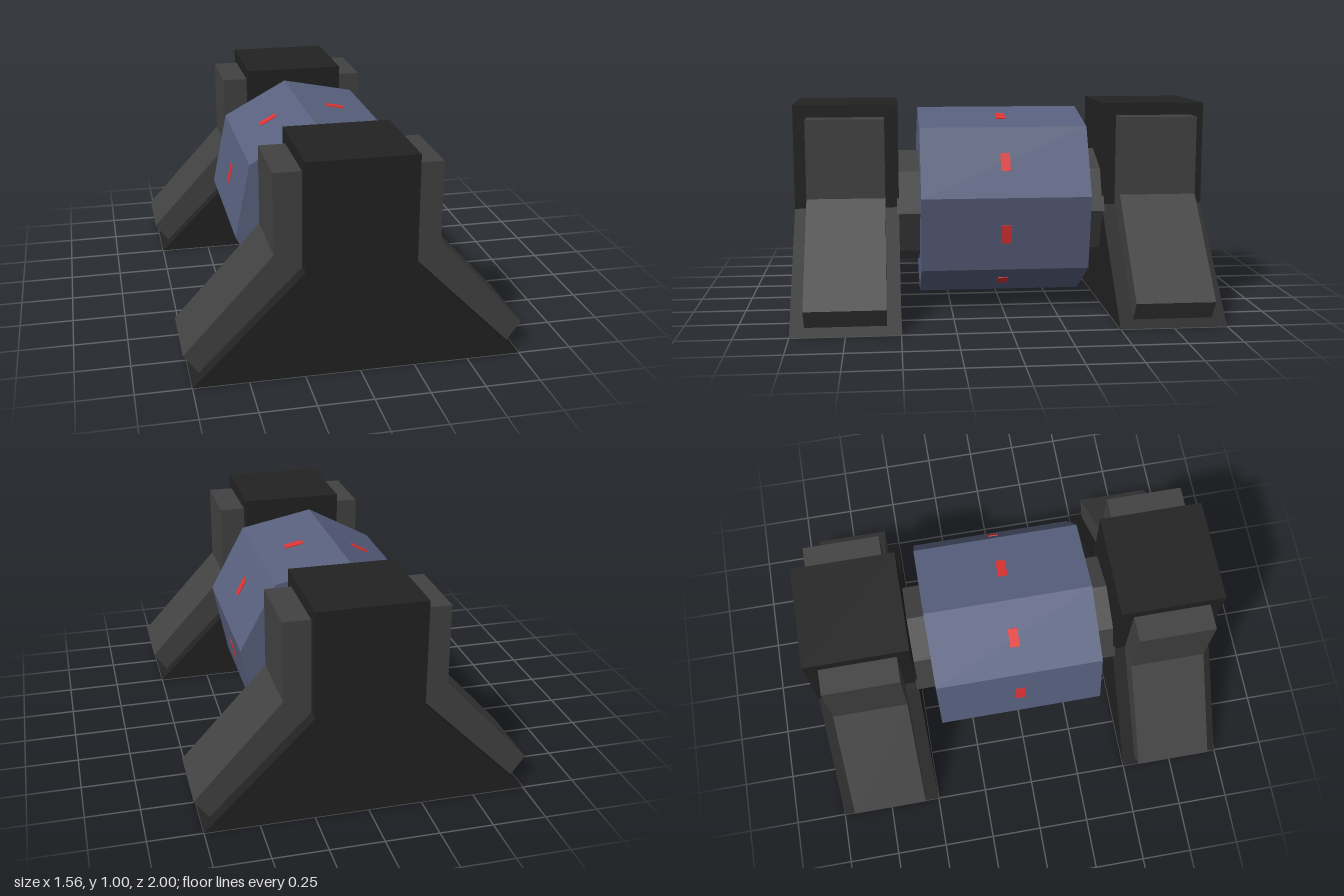
import * as THREE from 'three';

const mat = (name, color, extra = {}) => {
  const m = new THREE.MeshStandardMaterial({ color, ...extra });
  m.name = name;
  return m;
};

// Extrude a polygon in the xy plane between two z values
function prism(name, points, z0, z1, material) {
  const shape = new THREE.Shape(points.map(([x, y]) => new THREE.Vector2(x, y)));
  const geo = new THREE.ExtrudeGeometry(shape, { depth: z1 - z0, bevelEnabled: false });
  geo.translate(0, 0, z0);
  const mesh = new THREE.Mesh(geo, material);
  mesh.name = name;
  return mesh;
}

export function createModel() {
  const black = mat('supportBlack', 0x222222);
  const grey = mat('padGrey', 0x424242);
  const blue = mat('drumBlue', 0x59617f);
  const red = mat('markRed', 0xe03434);
  const model = new THREE.Group();
  model.name = 'drumOnSupports';

  // Two flared supports, each with a bent pad on either side
  const supportProfile = [[-0.75, 0], [0.75, 0], [0.25, 0.5], [0.25, 1], [-0.25, 1], [-0.25, 0.5]];
  const padProfile = [[0.2, 0.94], [0.2, 0.5], [0.71, 0.03], [0.78, 0.125], [0.375, 0.565], [0.375, 0.94]];
  for (const [end, z] of [['front', 0.75], ['back', -0.75]]) {
    const support = new THREE.Group();
    support.name = end + 'Support';
    support.add(prism('supportBody', supportProfile, z - 0.25, z + 0.25, black));
    for (const s of [1, -1]) {
      const profile = padProfile.map(([x, y]) => [s * x, y]);
      support.add(prism(s > 0 ? 'leftPad' : 'rightPad', profile, z - 0.185, z + 0.185, grey));
    }
    model.add(support);
  }

  // Eight-sided axle joining the supports
  const axle = [];
  for (let i = 0; i < 8; i++) {
    const a = (i * Math.PI) / 4;
    axle.push([0.28 * Math.cos(a), 0.47 + 0.28 * Math.sin(a)]);
  }
  model.add(prism('axle', axle, -0.51, 0.51, grey));

  // Slightly turned eight-sided drum: two corners repeated every quarter turn
  const corners = [];
  for (let i = 0; i < 4; i++) {
    for (const [x, y] of [[0.463, 0.07], [0.29, 0.39]]) {
      const p = new THREE.Vector2(x, y).rotateAround(new THREE.Vector2(), (i * Math.PI) / 2);
      corners.push([p.x, p.y + 0.5]);
    }
  }
  const drum = new THREE.Group();
  drum.name = 'drum';
  drum.add(prism('drumBody', corners, -0.412, 0.398, blue));

  // A small mark at the middle of each drum face
  corners.forEach(([x, y], i) => {
    const [x2, y2] = corners[(i + 1) % 8];
    const mark = new THREE.Mesh(new THREE.BoxGeometry(0.09, 0.008, 0.046), red);
    mark.name = 'faceMark' + (i + 1);
    mark.position.set((x + x2) / 2, (y + y2) / 2, -0.008);
    mark.rotation.z = Math.atan2(y2 - y, x2 - x);
    drum.add(mark);
  });
  model.add(drum);
  return model;
}
